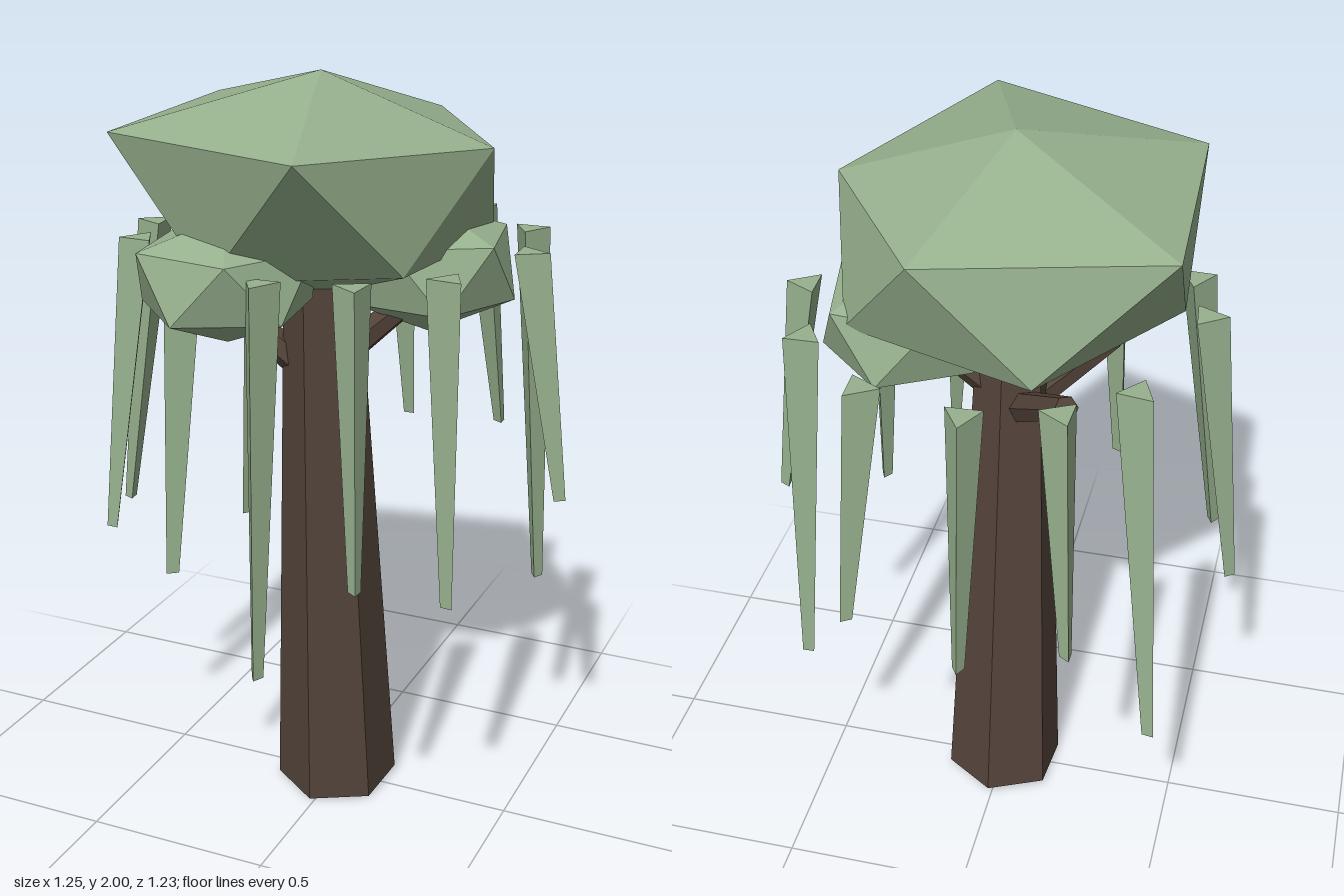
import * as THREE from 'three';
import { ConvexGeometry } from 'three/addons/geometries/ConvexGeometry.js';

const leaf = new THREE.MeshStandardMaterial({ color: 0x97b18e, flatShading: true });
leaf.name = 'leafGreen';
const bark = new THREE.MeshStandardMaterial({ color: 0x54443a, flatShading: true });
bark.name = 'barkBrown';

const V = (x, y, z) => new THREE.Vector3(x, y, z);

function add(group, name, geometry, material) {
  const mesh = new THREE.Mesh(geometry, material);
  mesh.name = name;
  group.add(mesh);
  return mesh;
}

// Tapered six-sided limb running between two points
function limb(group, name, from, to, r0, r1, twist = 0) {
  const dir = to.clone().sub(from);
  const geo = new THREE.CylinderGeometry(r1, r0, dir.length(), 6).rotateY(twist);
  const mesh = add(group, name, geo, bark);
  mesh.quaternion.setFromUnitVectors(V(0, 1, 0), dir.normalize());
  mesh.position.copy(from).add(to).multiplyScalar(0.5);
}

// Twenty-faced leaf clump: two staggered rings of five and two poles
function clump(group, name, c, r, h, facing) {
  const pts = [V(c.x, c.y + h, c.z), V(c.x, c.y - h, c.z)];
  for (let i = 0; i < 10; i++) {
    const a = facing + (i * Math.PI) / 5;
    const y = c.y + (i % 2 ? 0.55 : -0.42) * h;
    pts.push(V(c.x + r * Math.sin(a), y, c.z + r * Math.cos(a)));
  }
  add(group, name, new ConvexGeometry(pts), leaf);
}

// Three-sided hanging strand: flat top, splayed outward towards its tip
function strand(group, x, y, z) {
  const top = 1.58, tipR = Math.hypot(x, z), topR = 0.5;
  const geo = new THREE.CylinderGeometry(0.052, 0.018, top - y, 3);
  geo.translate(0, (top + y) / 2, 0);
  const p = geo.attributes.position;
  for (let i = 0; i < p.count; i++) {
    const t = (top - p.getY(i)) / (top - y);
    p.setZ(i, p.getZ(i) + topR + (tipR - 0.018 - topR) * t);
  }
  geo.rotateY(Math.atan2(x, z));
  geo.computeVertexNormals();
  add(group, 'hangingStrand', geo, leaf);
}

export function createModel() {
  const tree = new THREE.Group();
  tree.name = 'willowTree';

  // Leaning trunk and branches
  limb(tree, 'trunk', V(-0.003, 0.013, -0.002), V(-0.005, 1.5, 0.093), 0.165, 0.095, -0.07);
  limb(tree, 'branch', V(-0.02, 1.22, 0.08), V(-0.25, 1.42, 0.16), 0.045, 0.032);
  limb(tree, 'branch', V(-0.02, 1.24, 0.05), V(-0.2, 1.42, -0.19), 0.045, 0.032);
  limb(tree, 'branch', V(0.02, 1.27, 0.07), V(0.2, 1.43, 0.03), 0.045, 0.032);

  // Large uneven crown
  const crown = [
    [-0.01, 2, 0.08],
    [-0.46, 1.875, -0.245], [-0.43, 1.87, 0.385], [0.165, 1.88, 0.615],
    [0.435, 1.845, 0.08], [0.135, 1.855, -0.37],
    [-0.44, 1.58, 0.06], [-0.15, 1.54, 0.42], [0.31, 1.58, 0.33],
    [0.35, 1.57, -0.19], [-0.15, 1.57, -0.355],
    [0, 1.44, 0.06],
  ].map((p) => V(...p));
  add(tree, 'crown', new ConvexGeometry(crown), leaf);

  // Smaller clumps under the crown
  clump(tree, 'frontClump', V(-0.14, 1.53, 0.345), 0.22, 0.155, -0.17);
  clump(tree, 'sideClump', V(0.24, 1.51, -0.03), 0.215, 0.165, Math.PI / 2 + 0.2);

  // Ring of strands, given by their tips
  const tips = [
    [-0.03, 0.9, -0.615], [0.285, 0.94, -0.54], [0.49, 0.59, -0.3],
    [0.62, 0.94, -0.03], [0.445, 0.755, 0.32], [0.285, 0.86, 0.545],
    [0.025, 0.59, 0.57], [-0.23, 0.815, 0.53], [-0.55, 0.79, 0.285],
    [-0.625, 0.78, 0.065], [-0.49, 0.58, -0.395], [-0.29, 0.93, -0.54],
  ];
  for (const [x, y, z] of tips) strand(tree, x, y, z);

  return tree;
}
